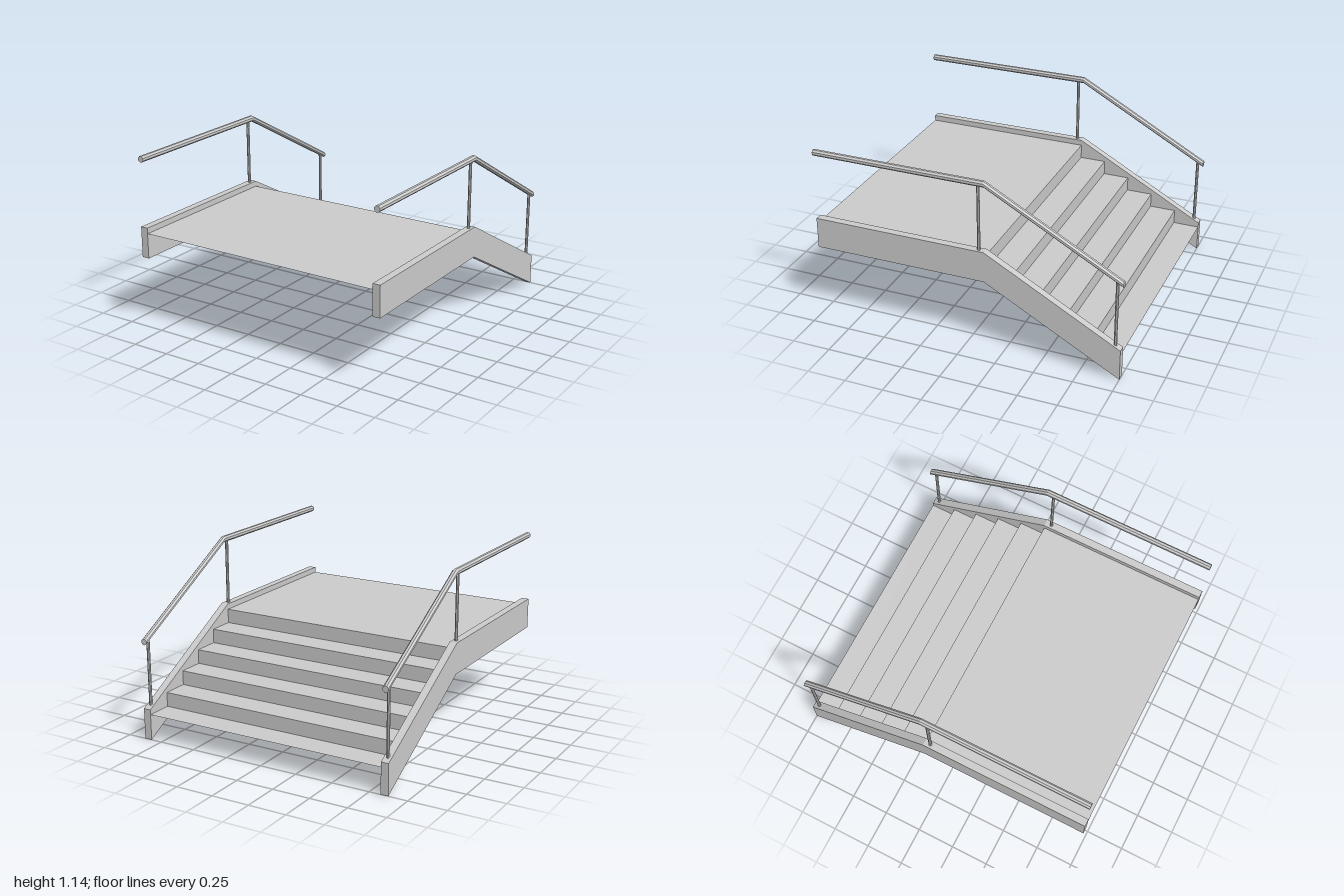
import * as THREE from 'three';

const KINK = -0.13; // z where the level deck turns into the stairs
const DROP = 0.475; // fall of the side members from the kink to the foot
const SIDE_X = 0.85;
const slopeY = (z) => (z < KINK ? -DROP * (KINK - z) / (KINK + 1) : 0);

const material = new THREE.MeshStandardMaterial({ color: 0xcccccc, flatShading: true });
const sheetMaterial = new THREE.MeshStandardMaterial({
  color: 0xcccccc, flatShading: true, side: THREE.DoubleSide,
});

// Runs an x-y section from the foot, through the kink, to the front edge.
function bentBar(points) {
  const shape = new THREE.Shape(points.map(([x, y]) => new THREE.Vector2(x, y)));
  const geometry = new THREE.ExtrudeGeometry(shape, { depth: 2, steps: 2, bevelEnabled: false });
  const stations = [-1, KINK, 1];
  const pos = geometry.attributes.position;
  for (let i = 0; i < pos.count; i++) {
    const z = stations[Math.round(pos.getZ(i))];
    pos.setZ(i, z);
    pos.setY(i, pos.getY(i) + slopeY(z));
  }
  geometry.computeVertexNormals();
  return geometry;
}

function add(parent, name, geometry, mat = material) {
  const mesh = new THREE.Mesh(geometry, mat);
  mesh.name = name;
  parent.add(mesh);
  return mesh;
}

// Thin horizontal or vertical sheet spanning between the stringers.
function sheet(parent, name, length, y, z, upright) {
  const mesh = add(parent, name, new THREE.PlaneGeometry(1.65, length), sheetMaterial);
  mesh.position.set(0, y, z);
  mesh.rotation.x = upright ? 0 : -Math.PI / 2;
  if (upright) mesh.rotation.y = Math.PI;
}

export function createModel() {
  const model = new THREE.Group();
  model.name = 'stairPlatform';

  // Deck and open-backed flight of steps
  const deckY = 0.64, count = 5;
  const run = (KINK + 1) / count, rise = 0.094;
  sheet(model, 'deck', 1 - KINK, deckY, (1 + KINK) / 2, false);
  const stairs = new THREE.Group();
  stairs.name = 'stairs';
  model.add(stairs);
  for (let i = 0; i < count; i++) {
    const y = deckY - (i + 1) * rise;
    const z = KINK - i * run;
    sheet(stairs, 'riser', rise, y + rise / 2, z, true);
    sheet(stairs, 'tread', run, y, z - run / 2, false);
  }

  // Octagonal handrail section
  const octagon = [];
  for (let i = 0; i < 8; i++) {
    const a = (i + 0.5) * Math.PI / 4, r = 0.019 / Math.cos(Math.PI / 8);
    octagon.push([r * Math.cos(a), 1.12 + r * Math.sin(a)]);
  }

  // Matching stringer, posts and handrail on both sides
  for (const s of [-1, 1]) {
    const side = new THREE.Group();
    side.name = s > 0 ? 'leftSide' : 'rightSide';
    side.position.x = s * SIDE_X;
    model.add(side);
    add(side, 'stringer', bentBar([[-0.025, 0.475], [0.025, 0.475], [0.025, 0.677], [-0.025, 0.677]]));
    add(side, 'handrail', bentBar(octagon));
    for (const z of [-0.09, -0.96]) {
      const post = add(side, 'post', new THREE.CylinderGeometry(0.0105, 0.0105, 0.45, 8));
      post.position.set(0, 0.89 + slopeY(z), z);
    }
  }
  return model;
}
